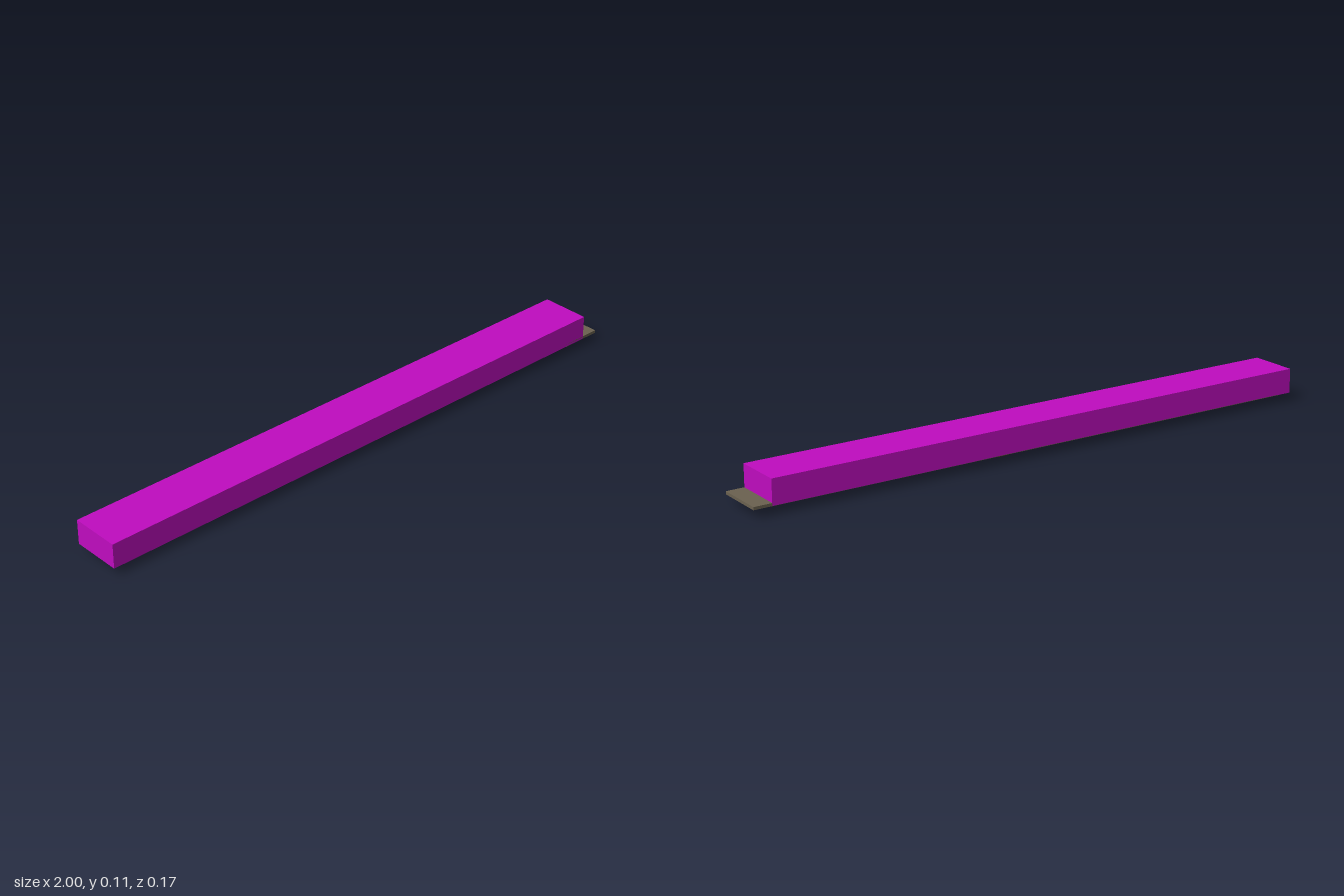
import * as THREE from 'three';

const magenta = new THREE.MeshStandardMaterial({ color: 0xc00cc0 });
const stone = new THREE.MeshStandardMaterial({ color: 0x6b6250 });
const bronze = new THREE.MeshStandardMaterial({ color: 0x54452e });

// Box given by its min and max on each axis
function slab(name, material, [x0, x1], [y0, y1], [z0, z1]) {
  const mesh = new THREE.Mesh(new THREE.BoxGeometry(x1 - x0, y1 - y0, z1 - z0), material);
  mesh.position.set((x0 + x1) / 2, (y0 + y1) / 2, (z0 + z1) / 2);
  mesh.name = name;
  return mesh;
}

// Rounded lump hanging below the underside, closed by a flat top inside the bar
function lump(name, x, z, rx, depth, rz, turn) {
  const geometry = new THREE.SphereGeometry(1, 12, 8);
  const p = geometry.attributes.position;
  for (let i = 0; i < p.count; i++) p.setY(i, Math.min(p.getY(i), 0.1));
  geometry.scale(rx, depth, rz);
  geometry.computeVertexNormals();
  const mesh = new THREE.Mesh(geometry, bronze);
  mesh.position.set(x, 0.031, z);
  mesh.rotation.y = turn;
  mesh.name = name;
  return mesh;
}

export function createModel() {
  const model = new THREE.Group();
  const halfDepth = 0.083;
  const under = [0.0295, 0.031];

  // Long bar and the tongue of the base plate past its end
  model.add(slab('bar', magenta, [-1, 0.94], [0.03, 0.112], [-halfDepth, halfDepth]));
  model.add(slab('basePlate', stone, [0.86, 1], [0.0295, 0.039], [-halfDepth, halfDepth]));

  // Base plate showing through the underside
  model.add(slab('undersideStrip', stone, [-0.95, 0.86], under, [-halfDepth, -0.055]));
  const patches = [[0.7, 0.16], [0.4, 0.07], [0.26, 0.07], [-0.38, 0.06], [-0.52, 0.07], [-0.66, 0.05], [-0.8, 0.07]];
  for (const [x, w] of patches) {
    model.add(slab('undersidePatch', stone, [x - w / 2, x + w / 2], under, [-0.03, 0.02]));
  }

  // Ornament under the middle: two large lumps joined by small ones
  const ornament = new THREE.Group();
  ornament.name = 'ornament';
  ornament.add(
    lump('leftLump', 0.115, -0.012, 0.078, 0.027, 0.044, 0.15),
    lump('leftKnot', 0.025, -0.01, 0.04, 0.019, 0.03, -0.2),
    lump('middleKnot', -0.035, -0.01, 0.04, 0.021, 0.034, 0.2),
    lump('rightKnot', -0.07, 0.02, 0.05, 0.028, 0.036, -0.3),
    lump('rightLump', -0.15, 0.014, 0.074, 0.029, 0.044, 0.15),
  );
  model.add(ornament);
  model.position.y = -0.001;
  return model;
}
